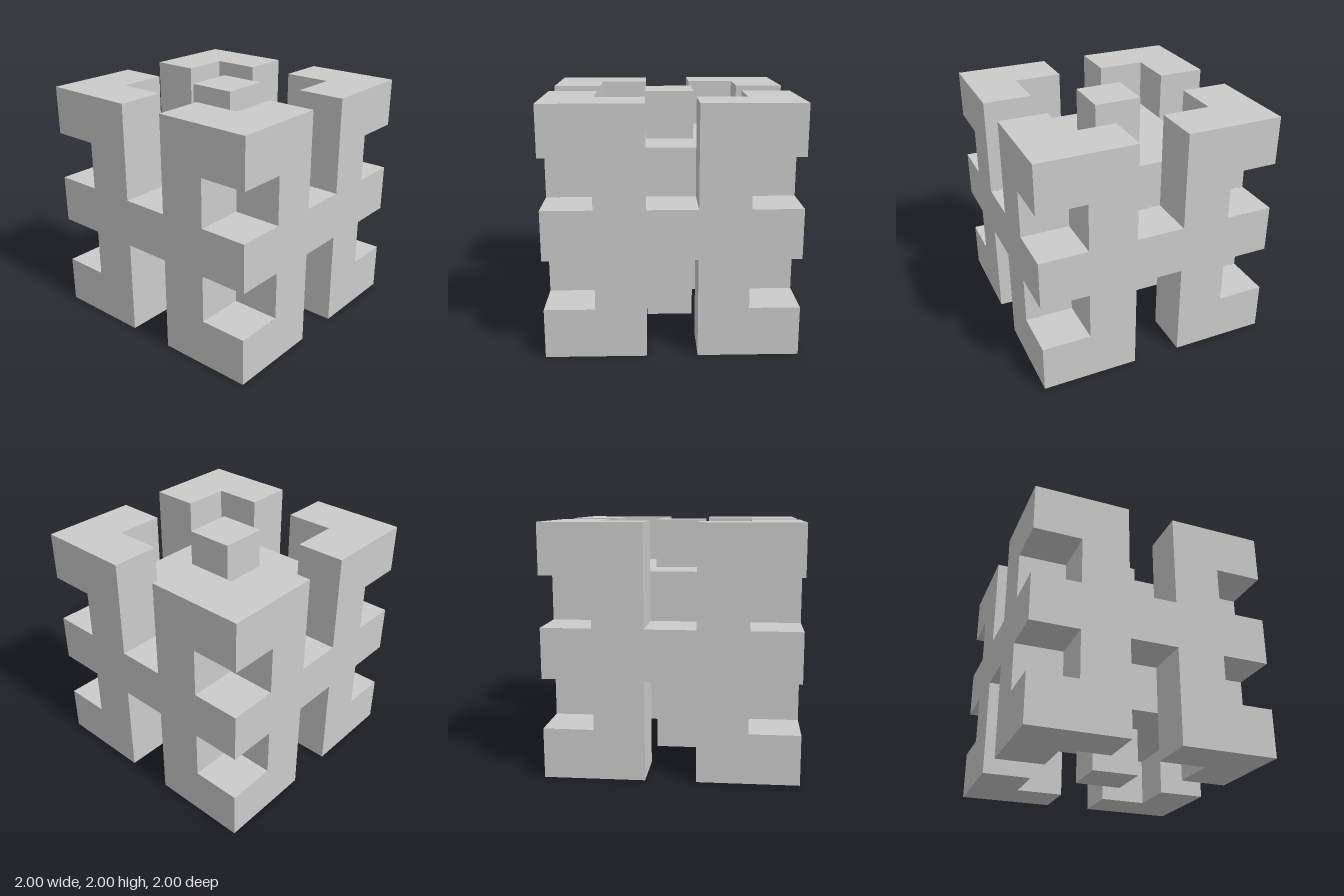
import * as THREE from 'three';
import { mergeGeometries, mergeVertices } from 'three/addons/utils/BufferGeometryUtils.js';

const CELL = 0.4;

// Plans of the five storeys (rows run along z, columns along x)
const cap = ['##.##', '#...#', '..#..', '#...#', '##.##']; // corner hooks and centre post
const waist = ['.#.#.', '#####', '.###.', '#####', '.#.#.']; // core with notches and slots
const belt = ['#####', '#####', '#####', '#####', '#####']; // solid middle slab
const storeys = [cap, waist, belt, waist, cap];

const filled = (x, y, z) => storeys[y]?.[z]?.[x] === '#';

const directions = [
  [1, 0, 0], [-1, 0, 0], [0, 1, 0], [0, -1, 0], [0, 0, 1], [0, 0, -1],
].map((d) => new THREE.Vector3(...d));

// One square panel on the side of a cell
function panel(x, y, z, d) {
  const centre = new THREE.Vector3(x - 2, y + 0.5, z - 2).addScaledVector(d, 0.5).multiplyScalar(CELL);
  return new THREE.PlaneGeometry(CELL, CELL)
    .lookAt(d)
    .translate(centre.x, centre.y, centre.z);
}

export function createModel() {
  const panels = [];
  // Panels only where a filled cell meets an empty one
  for (let y = 0; y < 5; y++) {
    for (let z = 0; z < 5; z++) {
      for (let x = 0; x < 5; x++) {
        if (!filled(x, y, z)) continue;
        for (const d of directions) {
          if (!filled(x + d.x, y + d.y, z + d.z)) panels.push(panel(x, y, z, d));
        }
      }
    }
  }
  const geometry = mergeGeometries(panels);
  geometry.deleteAttribute('uv');

  const block = new THREE.Mesh(
    mergeVertices(geometry),
    new THREE.MeshStandardMaterial({ color: 0xcccccc, flatShading: true }),
  );
  block.name = 'notchedCube';

  const model = new THREE.Group();
  model.name = 'cubeSculpture';
  model.add(block);
  return model;
}
